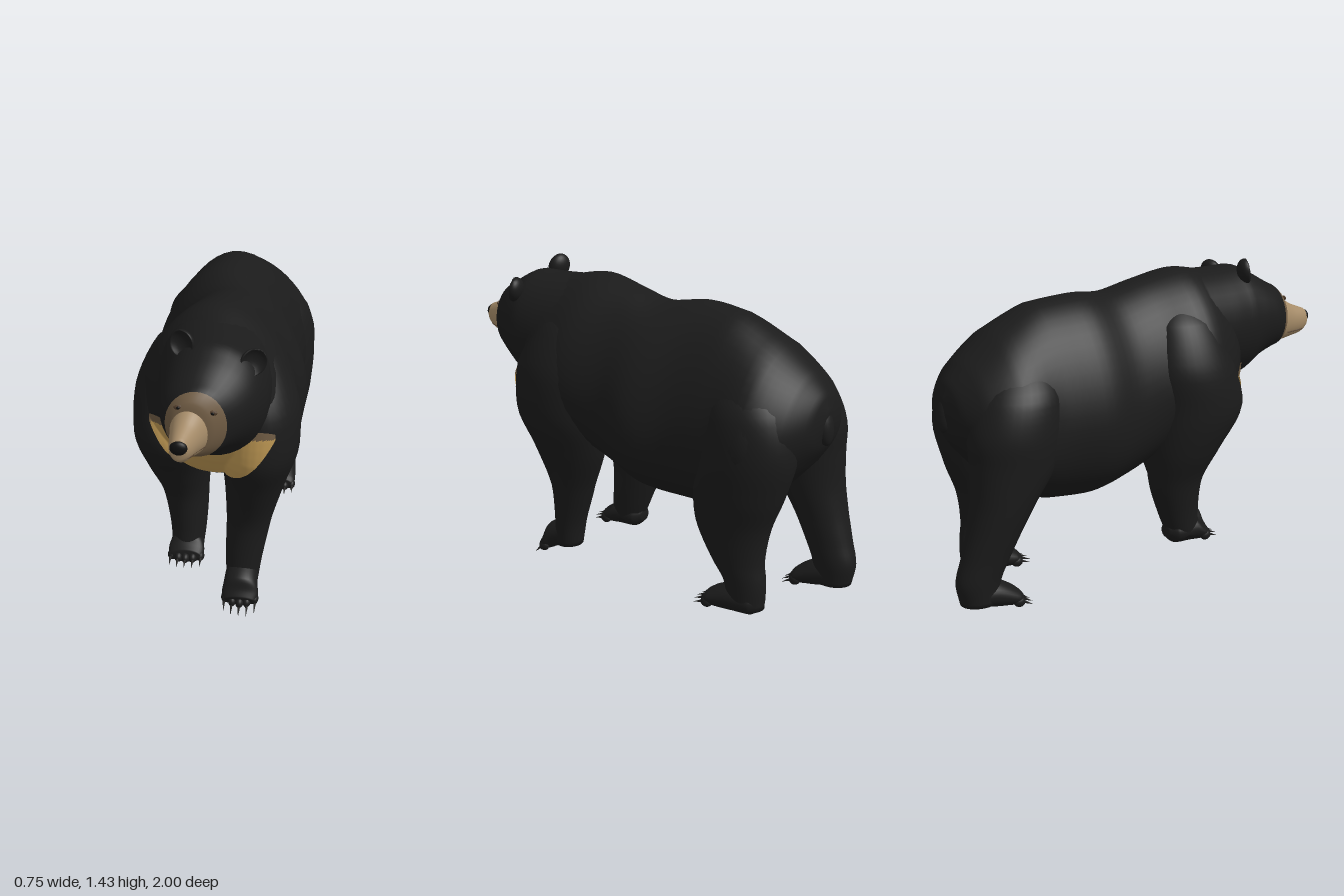
import * as THREE from 'three';

const mat = (name, color) => Object.assign(new THREE.MeshStandardMaterial({ color }), { name });

// Smooth loft through oval rings [x, y, z, halfWidth, halfDepth], stacked along z or y.
// egg narrows the upper half; floor flattens the underside.
function loft(keys, { axis = 'z', egg = 0, floor = -1, steps = 5, segs = 36, splitKey = 0 } = {}) {
  const centres = new THREE.CatmullRomCurve3(keys.map(k => new THREE.Vector3(k[0], k[1], k[2])));
  const radii = new THREE.CatmullRomCurve3(keys.map(k => new THREE.Vector3(k[3], k[4], 0)));
  const rows = (keys.length - 1) * steps, pos = [], idx = [];
  for (let i = 0; i <= rows; i++) {
    const c = centres.getPoint(i / rows), r = radii.getPoint(i / rows);
    const a = Math.max(r.x, 0.002), b = Math.max(r.y, 0.002);
    for (let j = 0; j < segs; j++) {
      const t = (j / segs) * Math.PI * 2, s = Math.sin(t), x = c.x + a * Math.cos(t) * (1 - egg * s);
      if (axis === 'z') pos.push(x, Math.max(c.y + b * s, floor), c.z);
      else pos.push(x, c.y, c.z - b * s);
    }
  }
  const first = keys[0], last = keys[keys.length - 1], pole = (rows + 1) * segs;
  pos.push(first[0], first[1], first[2], last[0], last[1], last[2]);
  for (let i = 0; i < rows; i++) for (let j = 0; j < segs; j++) {
    const k = (j + 1) % segs, p = i * segs + j, q = i * segs + k;
    idx.push(p, q, p + segs, q, q + segs, p + segs);
  }
  for (let j = 0; j < segs; j++) {
    const k = (j + 1) % segs;
    idx.push(pole, k, j, pole + 1, rows * segs + j, rows * segs + k);
  }
  const geo = new THREE.BufferGeometry();
  geo.setAttribute('position', new THREE.Float32BufferAttribute(pos, 3));
  geo.setIndex(idx);
  geo.computeVertexNormals();
  if (splitKey) {
    const cut = splitKey * steps * segs * 6;
    geo.addGroup(0, cut, 0);
    geo.addGroup(cut, idx.length - cut, 1);
  }
  return geo;
}

export function createModel() {
  const fur = mat('blackFur', 0x1b1b1b), mask = mat('brownMask', 0x705c44);
  const tan = mat('tanMuzzle', 0xa58b68), gold = mat('goldChest', 0xbd9753);
  const black = mat('noseBlack', 0x101010), horn = mat('clawHorn', 0x232221);
  const lip = mat('lipBrown', 0x54402e);
  gold.side = mask.side = THREE.DoubleSide;

  const model = new THREE.Group();
  model.name = 'bear';
  const add = (name, geo, material, parent = model) => {
    const m = new THREE.Mesh(geo, material);
    m.name = name;
    parent.add(m);
    return m;
  };
  const ball = (name, material, p, s, parent = model) => {
    const m = add(name, new THREE.SphereGeometry(1, 20, 14), material, parent);
    m.position.set(...p);
    m.scale.set(...s);
    return m;
  };

  // Torso, rump to chest, swaying slightly from side to side
  const torso = add('torso', loft([
    [0, 0.94, -0.945, 0.03, 0.04], [0, 0.93, -0.92, 0.14, 0.12], [0, 0.92, -0.85, 0.26, 0.215],
    [0.005, 0.9, -0.7, 0.355, 0.35], [0, 0.9, -0.5, 0.328, 0.443], [-0.015, 0.905, -0.3, 0.342, 0.455],
    [0.022, 0.91, -0.11, 0.34, 0.43], [0.015, 0.957, 0.05, 0.318, 0.418], [0, 1.015, 0.25, 0.345, 0.395],
    [0.02, 1.025, 0.42, 0.295, 0.355], [0.04, 1.05, 0.51, 0.225, 0.27], [0.05, 1.02, 0.55, 0.15, 0.17],
    [0.05, 1.0, 0.565, 0.04, 0.04]], { egg: 0.2, segs: 48 }), fur);
  ball('tail', fur, [0.01, 0.91, -0.925], [0.045, 0.085, 0.035]).rotation.x = 0.15;

  // Legs, ankle up to shoulder or hip
  const legs = {
    leftFrontLeg: [[0.125, 0.08, 0.375, 0.07, 0.065], [0.13, 0.2, 0.36, 0.082, 0.072],
      [0.15, 0.4, 0.325, 0.102, 0.105], [0.175, 0.6, 0.32, 0.137, 0.18], [0.195, 0.8, 0.345, 0.175, 0.235],
      [0.2, 1.0, 0.345, 0.165, 0.22], [0.16, 1.2, 0.32, 0.115, 0.14], [0.11, 1.31, 0.3, 0.03, 0.04]],
    rightFrontLeg: [[-0.145, 0.16, 0.22, 0.072, 0.08], [-0.145, 0.28, 0.19, 0.085, 0.1],
      [-0.16, 0.45, 0.165, 0.107, 0.135], [-0.185, 0.6, 0.19, 0.145, 0.18], [-0.2, 0.8, 0.245, 0.178, 0.235],
      [-0.205, 1.0, 0.21, 0.165, 0.215], [-0.165, 1.2, 0.2, 0.115, 0.15], [-0.11, 1.31, 0.2, 0.03, 0.04]],
    leftHindLeg: [[0.215, 0.08, -0.68, 0.07, 0.085], [0.215, 0.2, -0.67, 0.078, 0.1],
      [0.215, 0.3, -0.63, 0.09, 0.13], [0.205, 0.45, -0.6, 0.122, 0.18], [0.2, 0.6, -0.62, 0.155, 0.215],
      [0.19, 0.8, -0.65, 0.178, 0.235], [0.17, 1.0, -0.65, 0.165, 0.195], [0.1, 1.15, -0.61, 0.1, 0.12],
      [0.06, 1.22, -0.57, 0.03, 0.03]],
    rightHindLeg: [[-0.19, 0.1, -0.895, 0.072, 0.085], [-0.19, 0.2, -0.895, 0.083, 0.103],
      [-0.195, 0.3, -0.86, 0.093, 0.112], [-0.2, 0.42, -0.815, 0.112, 0.125], [-0.2, 0.55, -0.765, 0.137, 0.15],
      [-0.195, 0.7, -0.71, 0.162, 0.2], [-0.19, 0.85, -0.69, 0.176, 0.22], [-0.17, 1.0, -0.66, 0.165, 0.195],
      [-0.1, 1.15, -0.61, 0.1, 0.12], [-0.06, 1.22, -0.57, 0.03, 0.03]],
  };
  const legMeshes = Object.entries(legs).map(([name, keys]) => add(name, loft(keys, { axis: 'y' }), fur));

  // Paws with five toes and curved-down claws
  function paw(name, p, length, pitch) {
    const g = new THREE.Group();
    g.name = name;
    g.position.set(...p);
    g.rotation.x = pitch;
    model.add(g);
    add('foot', loft([[0, 0.07, -0.1, 0.03, 0.03], [0, 0.065, -0.06, 0.07, 0.058], [0, 0.064, 0.04, 0.078, 0.062],
      [0, 0.046, length - 0.03, 0.082, 0.042], [0, 0.038, length, 0.07, 0.03]], { floor: 0.008 }), fur, g);
    for (let i = -2; i <= 2; i++) {
      const z = length - 0.006 * i * i;
      ball('toe', fur, [i * 0.033, 0.031, z], [0.019, 0.024, 0.028], g);
      const claw = add('claw', new THREE.ConeGeometry(0.008, 0.06, 8).translate(0, 0.03, 0), horn, g);
      claw.position.set(i * 0.035, 0.034, z + 0.012);
      claw.rotation.x = Math.PI / 2 + 0.35;
    }
  }
  paw('leftFrontPaw', [0.125, 0.065, 0.39], 0.11, 0.45);
  paw('rightFrontPaw', [-0.145, 0.12, 0.22], 0.11, 0);
  paw('leftHindPaw', [0.215, 0.047, -0.66], 0.17, 0);
  paw('rightHindPaw', [-0.19, 0.075, -0.88], 0.17, 0.14);

  // Head with a brown face mask as its front section
  const head = add('head', loft([
    [0, 1.13, 0.3, 0.25, 0.26], [0.015, 1.12, 0.48, 0.242, 0.262], [0.02, 1.12, 0.59, 0.23, 0.262],
    [0.01, 1.13, 0.68, 0.203, 0.212], [-0.01, 1.125, 0.76, 0.165, 0.168], [-0.022, 1.118, 0.81, 0.127, 0.148],
    [-0.035, 1.11, 0.845, 0.085, 0.115], [-0.04, 1.1, 0.865, 0.02, 0.03]], { splitKey: 5 }), [fur, mask]);
  add('muzzle', loft([
    [-0.04, 1.1, 0.8, 0.09, 0.112], [-0.046, 1.097, 0.85, 0.078, 0.102], [-0.057, 1.088, 0.9, 0.061, 0.08],
    [-0.065, 1.084, 0.95, 0.047, 0.064], [-0.068, 1.088, 0.98, 0.036, 0.046], [-0.068, 1.088, 0.987, 0.01, 0.01],
  ]), tan);
  ball('nose', black, [-0.068, 1.101, 0.98], [0.036, 0.031, 0.02]);
  const mouth = [[-0.112, 1.04, 0.85], [-0.106, 1.042, 0.9], [-0.1, 1.045, 0.95], [-0.068, 1.052, 0.979],
    [-0.028, 1.045, 0.95], [-0.011, 1.042, 0.9], [0.019, 1.04, 0.85]].map(p => new THREE.Vector3(...p));
  add('mouth', new THREE.TubeGeometry(new THREE.CatmullRomCurve3(mouth), 40, 0.0035, 6), lip);

  // Depth of a surface seen along -z
  const ray = new THREE.Raycaster();
  const depth = (x, y, meshes, fallback) => {
    ray.set(new THREE.Vector3(x, y, 3), new THREE.Vector3(0, 0, -1));
    const hit = ray.intersectObjects(meshes, false)[0];
    return hit ? hit.point.z : fallback;
  };

  // Eyes
  for (const [x, y] of [[-0.088, 1.208], [0.05, 1.187]]) {
    const z = depth(x, y, [head], 0.82);
    ball('eyelid', lip, [x, y, z], [0.019, 0.011, 0.006]);
    ball('eye', black, [x, y, z + 0.003], [0.008, 0.007, 0.006]);
  }

  // Ears: spheres with the front pushed in to form a cup
  for (const [name, x, y, z, roll, turn] of [
    ['rightEar', -0.106, 1.37, 0.59, 0.25, -0.35], ['leftEar', 0.19, 1.315, 0.615, -0.6, 0.3]]) {
    const geo = new THREE.SphereGeometry(1, 24, 16), p = geo.attributes.position;
    for (let i = 0; i < p.count; i++) if (p.getZ(i) > 0.3) p.setZ(i, 0.6 - p.getZ(i));
    geo.computeVertexNormals();
    const ear = add(name, geo, fur);
    ear.position.set(x, y, z);
    ear.scale.set(0.055, 0.06, 0.038);
    ear.rotation.set(-0.15, turn, roll);
  }

  // Chest crescent draped on the torso and shoulders, with brown tips
  const low = u => 0.685 + 0.24 * Math.pow(u, 2.2);
  const high = u => 0.84 + 0.13 * THREE.MathUtils.smoothstep(u, 0.1, 0.75) - 0.02 * Math.pow(u, 8);
  const nu = 64, nv = 20, pos = [], idx = [[], []];
  for (let i = 0; i <= nu; i++) for (let j = 0; j <= nv; j++) {
    const u = (i / nu) * 2 - 1, a = Math.abs(u), x = 0.28 * u;
    const y = THREE.MathUtils.lerp(low(a), high(a), j / nv);
    pos.push(x, y, depth(x, y, [torso, ...legMeshes], 0.45) + 0.008);
  }
  for (let i = 0; i < nu; i++) for (let j = 0; j < nv; j++) {
    const p = i * (nv + 1) + j, q = p + nv + 1;
    idx[pos[p * 3 + 1] > 0.925 ? 1 : 0].push(p, q, p + 1, q, q + 1, p + 1);
  }
  const crescent = new THREE.BufferGeometry();
  crescent.setAttribute('position', new THREE.Float32BufferAttribute(pos, 3));
  crescent.setIndex([...idx[0], ...idx[1]]);
  crescent.addGroup(0, idx[0].length, 0);
  crescent.addGroup(idx[0].length, idx[1].length, 1);
  crescent.computeVertexNormals();
  add('chestCrescent', crescent, [gold, mask]);

  return model;
}
